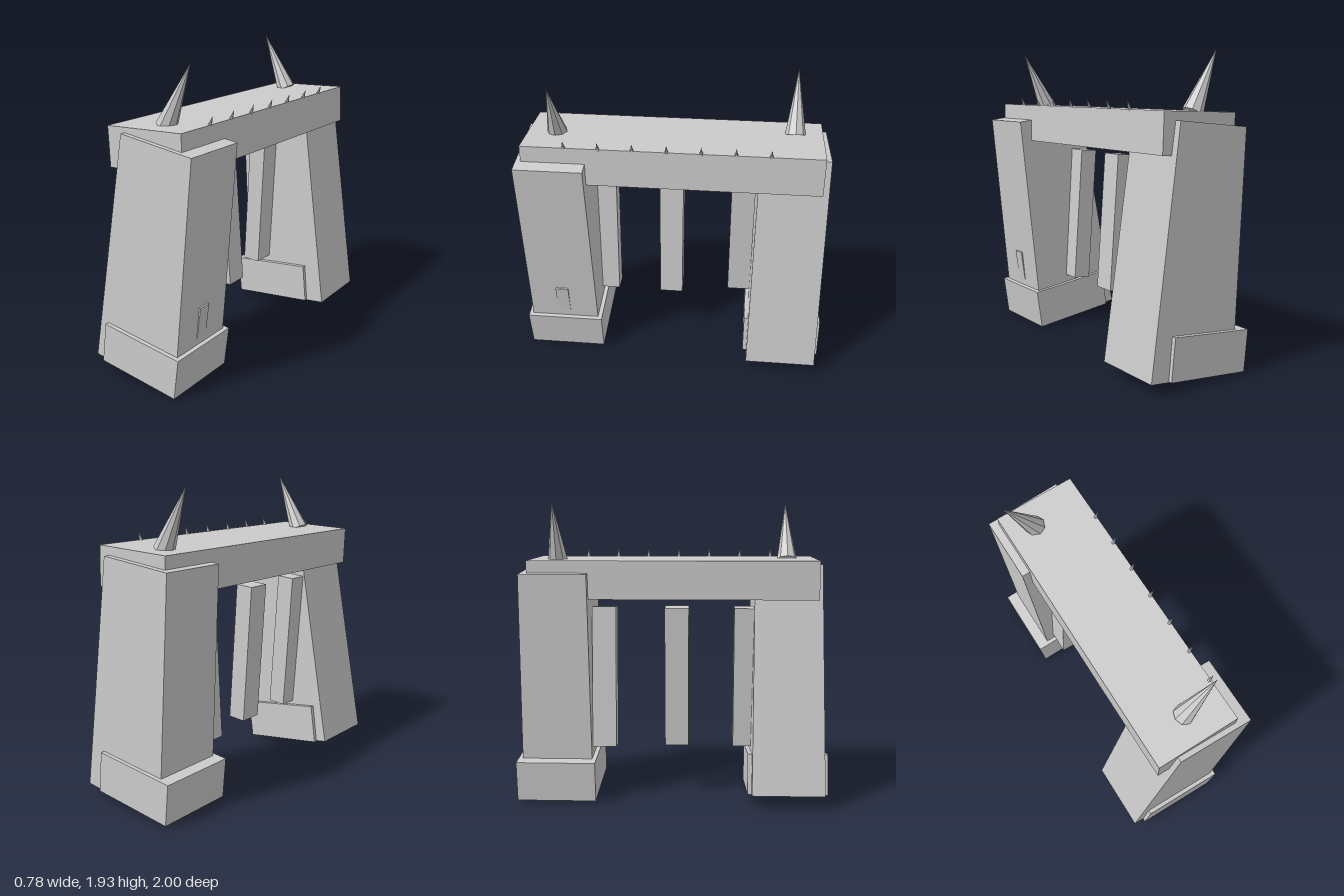
import * as THREE from 'three';

const material = new THREE.MeshStandardMaterial({ color: 0xcccccc, flatShading: true });
const rad = THREE.MathUtils.degToRad;

// Adds a named mesh, leaning sideways by a tilt in degrees
function add(parent, name, geometry, x, y, z, tilt = 0) {
  const mesh = new THREE.Mesh(geometry, material);
  mesh.name = name;
  mesh.position.set(x, y, z);
  mesh.rotation.z = rad(tilt);
  parent.add(mesh);
  return mesh;
}

// Box whose top face is narrower than its bottom
function taperedBox(w, h, d, topW, topD) {
  const geometry = new THREE.BoxGeometry(w, h, d);
  const p = geometry.attributes.position;
  for (let i = 0; i < p.count; i++) {
    if (p.getY(i) > 0) {
      p.setX(i, p.getX(i) * topW / w);
      p.setZ(i, p.getZ(i) * topD / d);
    }
  }
  geometry.computeVertexNormals();
  return geometry;
}

// Cone with its base at the origin
function spike(radius, height, sides) {
  return new THREE.ConeGeometry(radius, height, sides).translate(0, height / 2, 0);
}

export function createModel() {
  const model = new THREE.Group();
  model.name = 'gate';

  // Two leaning pillars with block feet
  const pillar = taperedBox(0.62, 1.466, 0.46, 0.5, 0.43);
  const foot = new THREE.BoxGeometry(0.565, 0.26, 0.51);
  add(model, 'frontPillar', pillar, 0.015, 0.778, 0.745, -8);
  add(model, 'frontFoot', foot, -0.025, 0.171, 0.745, -8);
  add(model, 'backPillar', pillar, 0.012, 0.776, -0.745, 5.5);
  add(model, 'backFoot', foot, -0.027, 0.171, -0.745, 5.5);

  // Small panel on the side of the front pillar
  add(model, 'sidePanel', new THREE.BoxGeometry(0.04, 0.205, 0.085), 0.247, 0.415, 0.747, -8);

  // Lintel across the pillars
  add(model, 'lintel', new THREE.BoxGeometry(0.53, 0.245, 1.845), 0.012, 1.452, 0.005, 2);

  // Posts below the lintel
  const post = new THREE.BoxGeometry(0.12, 0.92, 0.155);
  [[-0.08, 0.477, 4], [-0.075, 0.03, 4], [-0.1, -0.442, -3]].forEach(([x, z, tilt], i) =>
    add(model, `post${i + 1}`, post, x, 0.805, z, tilt));

  // Large horns leaning outwards
  const horn = spike(0.065, 0.41, 8);
  add(model, 'frontHorn', horn, 0.025, 1.565, 0.745, -26);
  add(model, 'backHorn', horn, -0.08, 1.565, -0.745, 26);

  // Row of small spikes along one edge
  const thorn = spike(0.013, 0.065, 6);
  for (let i = 0; i < 7; i++) {
    add(model, `edgeSpike${i + 1}`, thorn, 0.262, 1.575, 0.655 - i * 0.2083, -20);
  }
  return model;
}
